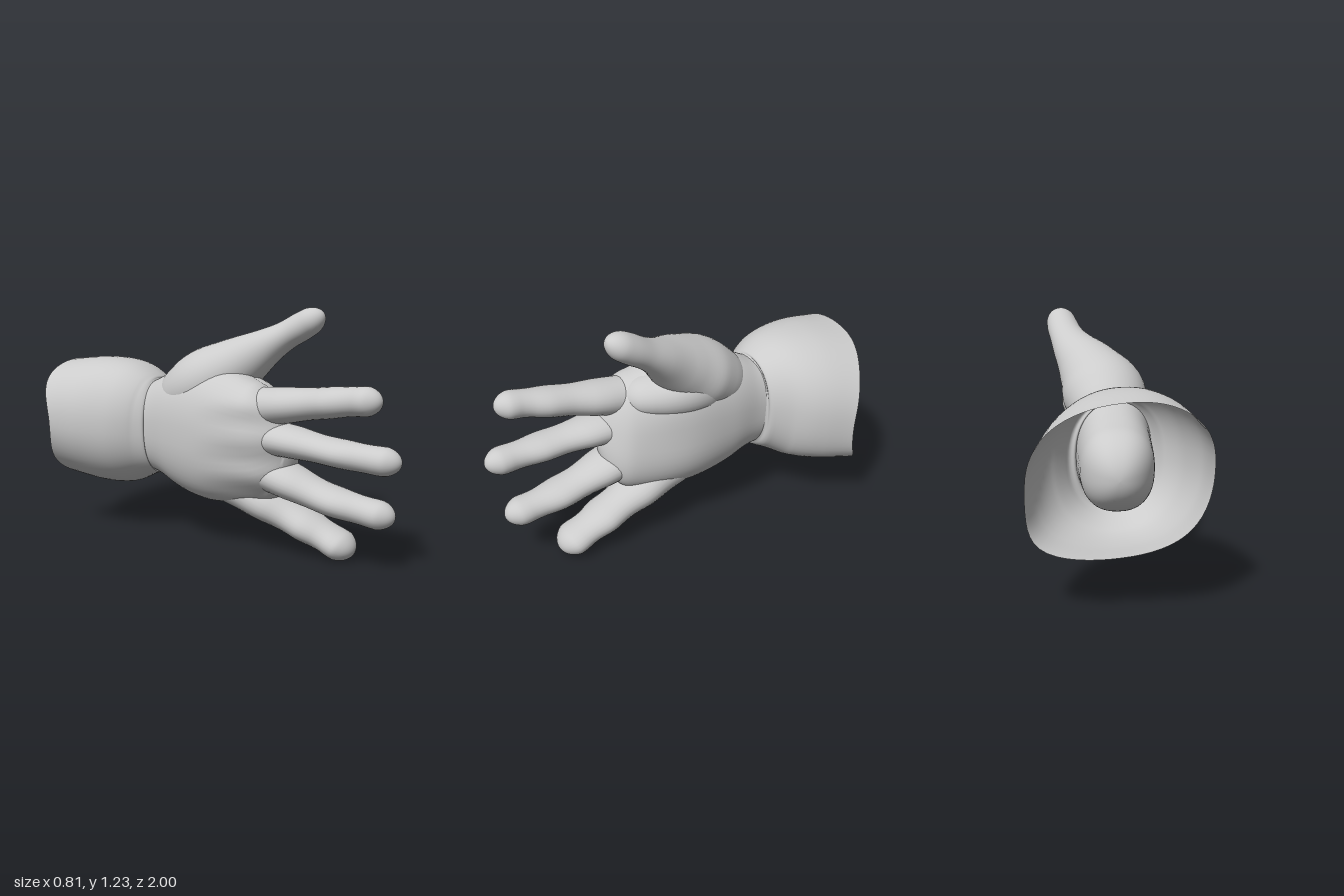
import * as THREE from 'three';

const material = new THREE.MeshStandardMaterial({ color: 0xcccccc, side: THREE.DoubleSide });
const power = (v, e) => Math.sign(v) * Math.pow(Math.abs(v), e);

// Loft of rounded sections. Each row: [x, y, z, radiusX, radiusUp, lean].
// capStart / capEnd are the lengths over which an end rounds off (0 = open).
function loft(name, rows, { capStart = 0, capEnd = 0, square = 2, rings = 48, sides = 40, warp } = {}) {
  const path = new THREE.CatmullRomCurve3(rows.map(r => new THREE.Vector3(r[0], r[1], r[2])), false, 'catmullrom');
  const size = new THREE.CatmullRomCurve3(rows.map(r => new THREE.Vector3(r[3], r[4], r[5] || 0)), false, 'catmullrom');
  const first = path.getPoint(0), last = path.getPoint(1);
  const round = (d, cap) => (d < cap ? Math.sqrt(Math.max(0, 1 - (1 - d / cap) ** 2)) : 1);
  const pos = [], index = [];
  for (let i = 0; i <= rings; i++) {
    const s = (1 - Math.cos((Math.PI * i) / rings)) / 2;
    const c = path.getPoint(s), t = path.getTangent(s), r = size.getPoint(s);
    const u = new THREE.Vector3(1, 0, 0).addScaledVector(t, -t.x).normalize();
    const v = new THREE.Vector3().crossVectors(t, u);
    const k = Math.max(0.001, round(c.distanceTo(first), capStart) * round(c.distanceTo(last), capEnd));
    for (let j = 0; j < sides; j++) {
      const a = (j / sides) * Math.PI * 2;
      const b = power(Math.sin(a), 2 / square) * r.y * k;
      const w = power(Math.cos(a), 2 / square) * r.x * k - b * r.z;
      const p = c.clone().addScaledVector(u, w).addScaledVector(v, b);
      if (warp) warp(p, s, a);
      pos.push(p.x, p.y, p.z);
      if (i < rings) {
        const n = (j + 1) % sides, o = i * sides;
        index.push(o + j, o + n, o + sides + j, o + n, o + sides + n, o + sides + j);
      }
    }
  }
  const geometry = new THREE.BufferGeometry();
  geometry.setAttribute('position', new THREE.Float32BufferAttribute(pos, 3));
  geometry.setIndex(index);
  geometry.computeVertexNormals();
  const mesh = new THREE.Mesh(geometry, material);
  mesh.name = name;
  return mesh;
}

// Finger: path points with radii across and up, slightly swollen at the joints
function finger(name, points) {
  const curve = new THREE.CatmullRomCurve3(points.map(p => new THREE.Vector3(p[0], p[1], p[2])));
  const radius = new THREE.CatmullRomCurve3(points.map(p => new THREE.Vector3(p[3], p[4], 0)));
  const rows = [], steps = 16;
  for (let i = 0; i <= steps; i++) {
    const s = i / steps, c = curve.getPoint(s), r = radius.getPoint(s);
    const swell = 0.06 * Math.cos(s * Math.PI * 7);
    rows.push([c.x, c.y, c.z, r.x * (1 + swell), r.y * (1 + swell / 3)]);
  }
  return loft(name, rows, { capStart: 0.16, capEnd: 0.085, sides: 28, rings: 56 });
}

export function createModel() {
  const hand = new THREE.Group();
  hand.name = 'glovedHand';

  // Palm, running back through the wrist to a rounded stump inside the cuff
  hand.add(loft('palmAndWrist', [
    [0, 0.56, -0.87, 0.15, 0.17],
    [-0.01, 0.575, -0.64, 0.17, 0.2],
    [-0.015, 0.588, -0.43, 0.18, 0.248],
    [-0.015, 0.595, -0.25, 0.21, 0.318],
    [-0.022, 0.58, -0.02, 0.232, 0.35, 0.02],
    [-0.035, 0.57, 0.2, 0.195, 0.315, 0.12],
    [-0.055, 0.59, 0.42, 0.128, 0.25, 0.22],
  ], {
    capStart: 0.19, capEnd: 0.16, square: 2.35, rings: 72, sides: 56,
    // hollow of the palm and the knuckle ridges on the back of the hand
    warp(p) {
      const front = THREE.MathUtils.smoothstep(p.z, -0.1, 0.3);
      if (p.x > 0.03) p.x -= 0.012 * Math.exp(-((p.y - 0.58) ** 2) / 0.02 - ((p.z - 0.1) ** 2) / 0.04);
      else if (p.x < -0.1) p.x -= 0.008 * front * Math.cos(((p.y - 0.6) / 0.18) * Math.PI * 2);
    },
  }));

  // Four fingers, their roots blending into the palm
  hand.add(finger('indexFinger', [
    [-0.07, 0.73, 0.08, 0.13, 0.12], [-0.07, 0.77, 0.36, 0.11, 0.09],
    [-0.075, 0.803, 0.6, 0.096, 0.076], [-0.085, 0.828, 0.78, 0.08, 0.07], [-0.09, 0.838, 0.915, 0.069, 0.068],
  ]));
  hand.add(finger('middleFinger', [
    [-0.06, 0.61, 0.1, 0.15, 0.1], [-0.067, 0.602, 0.4, 0.116, 0.08],
    [-0.068, 0.577, 0.65, 0.1, 0.068], [-0.058, 0.562, 0.85, 0.082, 0.068], [-0.045, 0.556, 1, 0.068, 0.066],
  ]));
  hand.add(finger('ringFinger', [
    [-0.03, 0.48, 0.06, 0.16, 0.11], [-0.025, 0.402, 0.36, 0.128, 0.088],
    [-0.008, 0.328, 0.6, 0.108, 0.074], [0.01, 0.292, 0.8, 0.088, 0.07], [0.02, 0.275, 0.945, 0.072, 0.068],
  ]));
  hand.add(finger('littleFinger', [
    [-0.005, 0.38, -0.08, 0.16, 0.13], [0.03, 0.263, 0.2, 0.138, 0.1],
    [0.058, 0.172, 0.4, 0.12, 0.082], [0.078, 0.103, 0.56, 0.11, 0.074], [0.088, 0.042, 0.7, 0.1, 0.072],
  ]));

  // Thumb with its muscle at the root
  hand.add(loft('thumb', [
    [-0.01, 0.68, -0.4, 0.13, 0.12],
    [0.0, 0.825, -0.15, 0.208, 0.18],
    [0.06, 0.935, 0.02, 0.168, 0.147],
    [0.132, 1.03, 0.15, 0.117, 0.097],
    [0.168, 1.088, 0.24, 0.092, 0.075],
    [0.19, 1.142, 0.33, 0.083, 0.073],
    [0.203, 1.207, 0.442, 0.068, 0.064],
  ], { capStart: 0.16, capEnd: 0.09 }));

  // Web of skin between thumb and index finger
  hand.add(loft('thumbWeb', [
    [0.07, 0.77, -0.24, 0.1, 0.12],
    [0.09, 0.785, -0.03, 0.12, 0.12],
    [0.025, 0.775, 0.11, 0.14, 0.115],
    [-0.05, 0.765, 0.28, 0.11, 0.09],
  ], { capStart: 0.14, capEnd: 0.12, sides: 32, rings: 36 }));

  // Flared cuff, open at the back with a wavy rim and one pulled-out corner
  hand.add(loft('cuff', [
    [-0.018, 0.585, -0.425, 0.175, 0.248],
    [-0.022, 0.585, -0.465, 0.225, 0.275],
    [-0.025, 0.59, -0.59, 0.305, 0.335],
    [-0.015, 0.59, -0.75, 0.368, 0.352],
    [0, 0.585, -0.96, 0.405, 0.335],
  ], {
    square: 2.2, sides: 64,
    warp(p, s, a) {
      const corner = 0.05 * s * s * Math.max(0, Math.cos(a - 0.75)) ** 10;
      p.x += corner;
      p.y -= 0.1 * p.x * s + corner * 0.4;
      p.z += s ** 3 * (0.08 * Math.cos(a) ** 4 + 0.03 * Math.min(0, Math.sin(a)) + 0.008 * Math.sin(5 * a + 5.4));
    },
  }));
  return hand;
}
